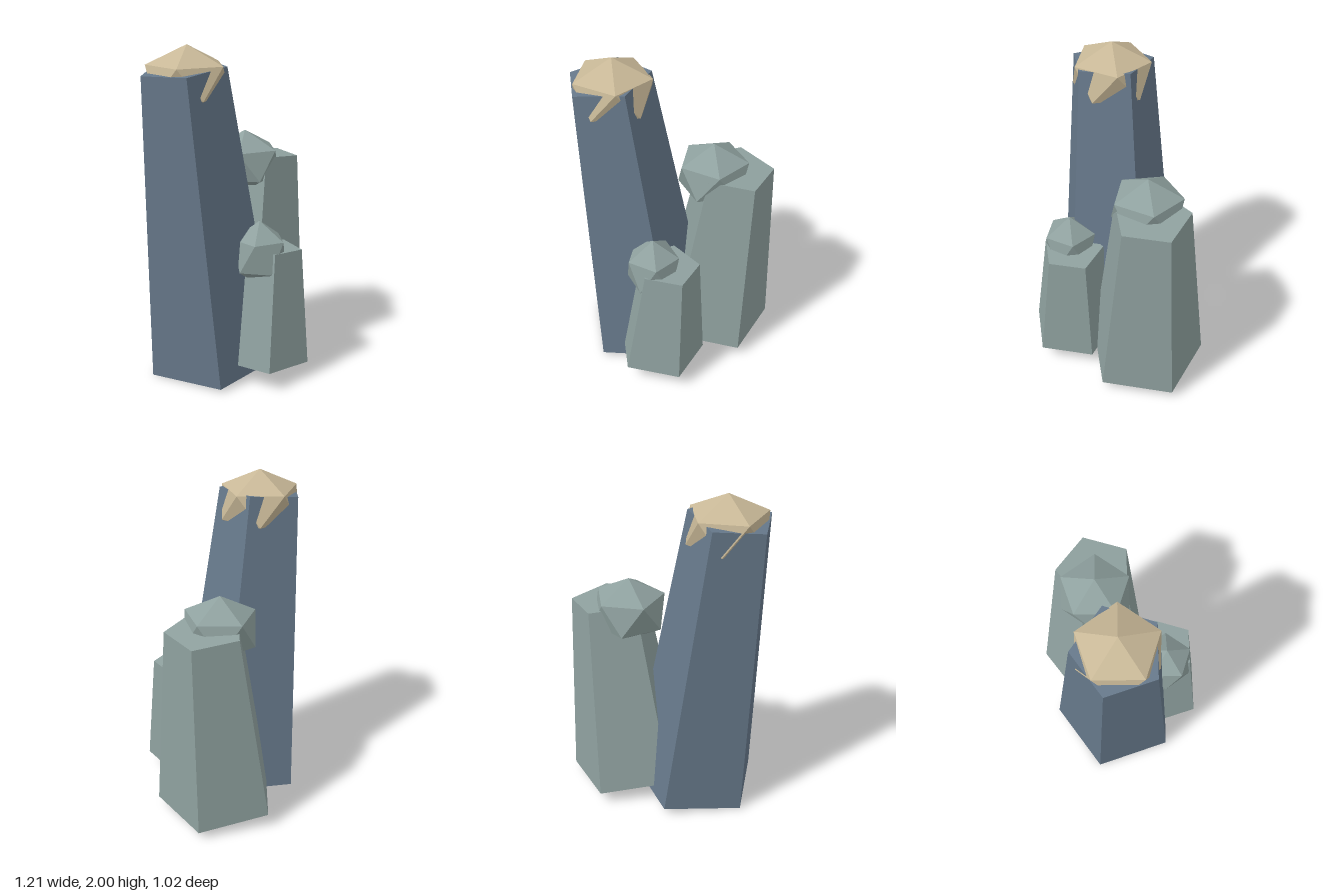
import * as THREE from 'three';

const flat = (name, color) => {
  const m = new THREE.MeshStandardMaterial({ color });
  m.name = name;
  m.flatShading = true;
  return m;
};

export function createModel() {
  const group = new THREE.Group();
  group.name = 'rockPillars';
  const slate = flat('slate blue', 0x66788a);
  const sage = flat('grey green', 0x8fa19f);
  const sand = flat('sand', 0xc8b897);

  // Tapered five-sided column, leaning sideways about its base centre
  function column(name, material, base, bottomRadius, topRadius, height, lean) {
    const geo = new THREE.CylinderGeometry(topRadius, bottomRadius, height, 5);
    geo.rotateY(Math.PI);
    geo.translate(0, height / 2, 0);
    const mesh = new THREE.Mesh(geo, material);
    mesh.name = name;
    mesh.position.set(...base);
    mesh.rotation.z = lean;
    group.add(mesh);
  }

  // Icosahedral boulder standing on a vertex, with its upper ring pointing to +x
  function boulder(name, material, centre, ringRadius, halfHeight) {
    const geo = new THREE.IcosahedronGeometry(1, 0);
    geo.rotateX(-Math.atan((1 + Math.sqrt(5)) / 2));
    geo.rotateY(Math.PI / 2);
    const radius = ringRadius / 0.8944;
    geo.scale(radius, halfHeight, radius);
    geo.computeVertexNormals();
    const mesh = new THREE.Mesh(geo, material);
    mesh.name = name;
    mesh.position.set(...centre);
    group.add(mesh);
  }

  column('tallColumn', slate, [-0.15, 0.05, -0.012], 0.406, 0.253, 1.83, 0.118);
  column('middleColumn', sage, [0.25, 0.087, -0.14], 0.372, 0.235, 1.178, -0.1);
  column('shortColumn', sage, [-0.017, 0.112, 0.286], 0.277, 0.19, 0.696, -0.078);

  boulder('tallCap', sand, [-0.338, 1.801, -0.012], 0.235, 0.199);
  boulder('middleCap', sage, [0.232, 1.22, -0.14], 0.213, 0.199);
  boulder('shortCap', sage, [-0.055, 0.785, 0.29], 0.157, 0.199);

  return group;
}
